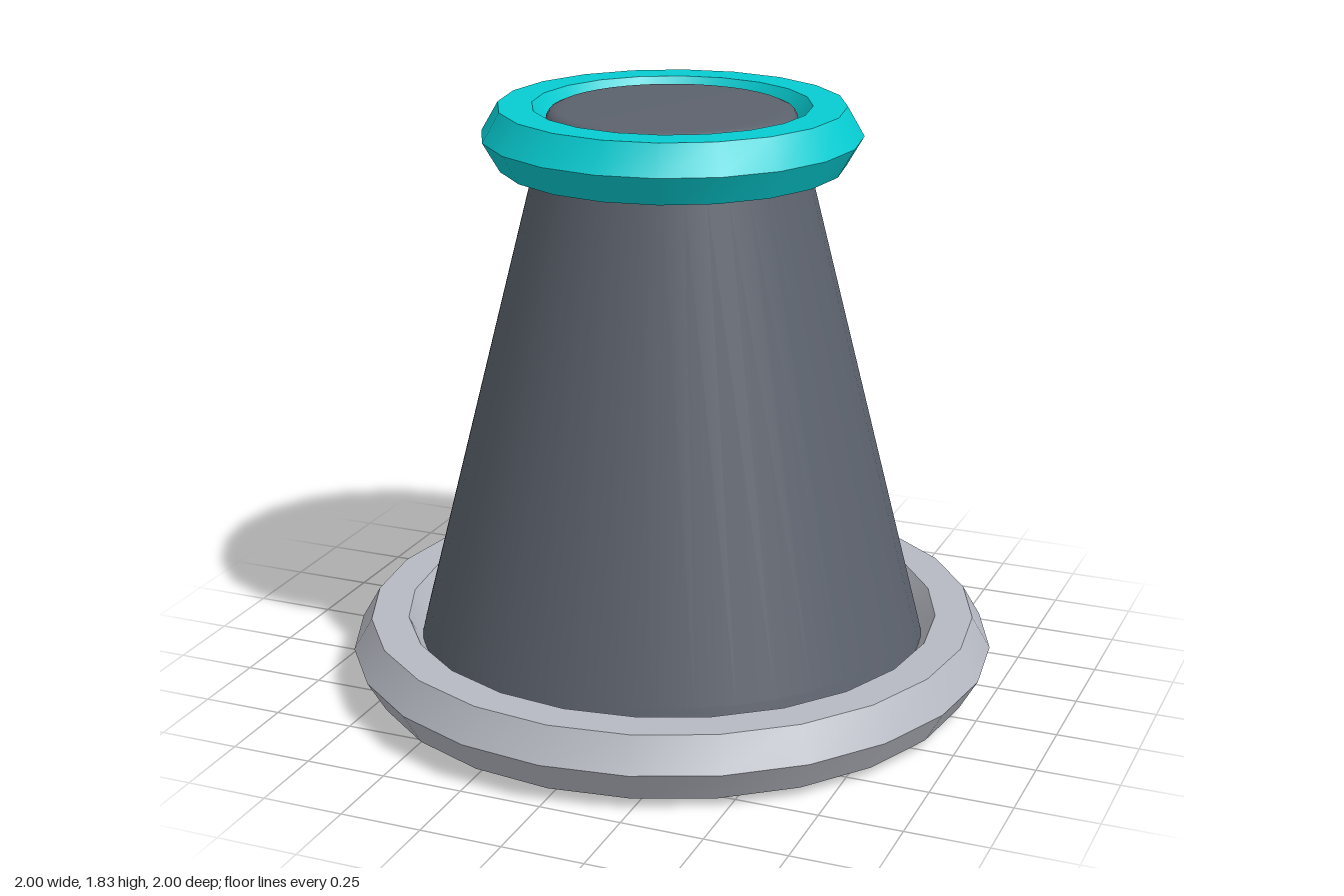
import * as THREE from 'three';
import { toCreasedNormals } from 'three/addons/utils/BufferGeometryUtils.js';

const material = (name, color) => {
  const m = new THREE.MeshStandardMaterial({ color });
  m.name = name;
  return m;
};

// Hexagonal-section ring lying flat, smooth around and sharp between its bands
function ring(name, radius, tube, segments, y, mat) {
  const geometry = new THREE.TorusGeometry(radius, tube, 6, segments);
  geometry.rotateX(-Math.PI / 2);
  const mesh = new THREE.Mesh(toCreasedNormals(geometry, 0.6), mat);
  mesh.name = name;
  mesh.position.y = y;
  return mesh;
}

export function createModel() {
  const group = new THREE.Group();
  group.name = 'taperedPedestal';
  const slate = material('slate grey', 0x5c626d);
  const silver = material('pale silver', 0xb6b9c2);
  const teal = material('bright teal', 0x06cdd2);

  // Tapered body with small softened edges at both ends
  const profile = [
    [0, 0], [0.76, 0], [0.79, 0.004], [0.81, 0.017], [0.815, 0.035],
    [0.768, 0.23], [0.41, 1.65], [0.373, 1.795], [0.364, 1.81], [0.345, 1.818], [0.31, 1.82], [0, 1.82],
  ].map(([r, y]) => new THREE.Vector2(r, y));
  const body = new THREE.Mesh(new THREE.LatheGeometry(profile, 40), slate);
  body.name = 'body';
  group.add(body);

  // Base and top collars
  group.add(ring('baseRing', 0.885, 0.115, 24, 0.13, silver));
  group.add(ring('topRing', 0.468, 0.102, 20, 1.74, teal));
  return group;
}
